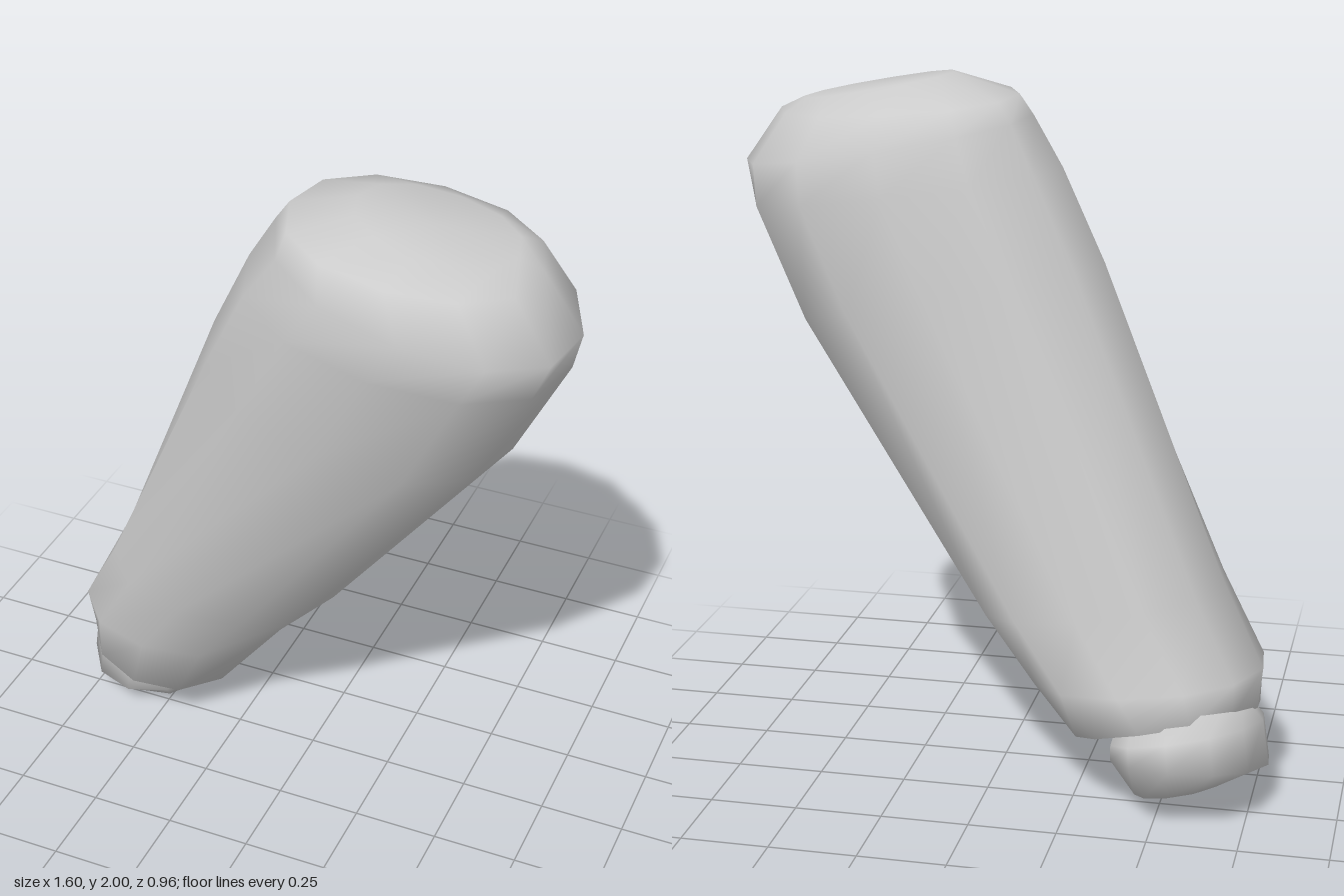
import * as THREE from 'three';

const SIDES = 12;

// Closed loft through tilted, rounded cross-sections listed from bottom to top.
// Ring: [cx, cy, cz, halfX, halfZ, slopeX, slopeZ, shear]
function loft(name, rings) {
  const pos = [], index = [];
  const soft = v => Math.sign(v) * Math.pow(Math.abs(v), 0.92);
  for (const [cx, cy, cz, hx, hz, sx, sz, shear] of rings) {
    for (let i = 0; i < SIDES; i++) {
      const t = (i / SIDES) * Math.PI * 2;
      const dz = hz * soft(Math.sin(t));
      const dx = hx * soft(Math.cos(t)) + shear * dz;
      pos.push(cx + dx, cy + sx * dx + sz * dz, cz + dz);
    }
  }
  const last = (rings.length - 1) * SIDES;
  const bottom = rings.length * SIDES, top = bottom + 1;
  pos.push(...rings[0].slice(0, 3), ...rings[rings.length - 1].slice(0, 3));
  for (let i = 0; i < SIDES; i++) {
    const n = (i + 1) % SIDES;
    for (let r = 0; r < last; r += SIDES) {
      const a = r + i, b = r + n, c = a + SIDES, d = b + SIDES;
      index.push(a, c, b, b, c, d);
    }
    index.push(bottom, i, n, last + i, top, last + n);
  }
  const geo = new THREE.BufferGeometry();
  geo.setAttribute('position', new THREE.Float32BufferAttribute(pos, 3));
  geo.setIndex(index);
  geo.computeVertexNormals();
  const mesh = new THREE.Mesh(geo, new THREE.MeshStandardMaterial({ color: 0xcccccc }));
  mesh.name = name;
  return mesh;
}

export function createModel() {
  const group = new THREE.Group();
  group.name = 'taperedHandle';

  // Leaning body: recessed underside, flared cuff, widening shaft, bevelled top
  group.add(loft('body', [
    [-0.53, 0.25, -0.17, 0.19, 0.23, -0.22, -0.26, -0.12],
    [-0.51, 0.22, -0.16, 0.25, 0.29, -0.22, -0.26, -0.15],
    [-0.45, 0.36, -0.135, 0.32, 0.305, -0.08, -0.08, -0.15],
    [-0.31, 0.56, -0.085, 0.34, 0.295, -0.15, -0.05, -0.12],
    [0.17, 1.39, 0.06, 0.44, 0.34, -0.22, -0.10, 0.00],
    [0.315, 1.68, 0.105, 0.455, 0.35, -0.14, -0.04, 0.05],
    [0.375, 1.81, 0.13, 0.425, 0.35, -0.18, 0.00, 0.15],
    [0.34, 1.915, 0.13, 0.35, 0.295, -0.08, 0.02, 0.10],
    [0.40, 1.96, 0.13, 0.22, 0.17, -0.18, 0.00, 0.00],
  ]));

  // Rounded plug set into the lower end
  group.add(loft('endPlug', [
    [-0.56, 0.045, -0.20, 0.13, 0.20, -0.20, -0.22, -0.10],
    [-0.58, 0.125, -0.205, 0.22, 0.275, 0.00, -0.25, -0.10],
    [-0.57, 0.21, -0.20, 0.21, 0.27, -0.22, -0.25, -0.10],
    [-0.55, 0.28, -0.18, 0.17, 0.22, -0.22, -0.25, -0.10],
  ]));

  return group;
}
